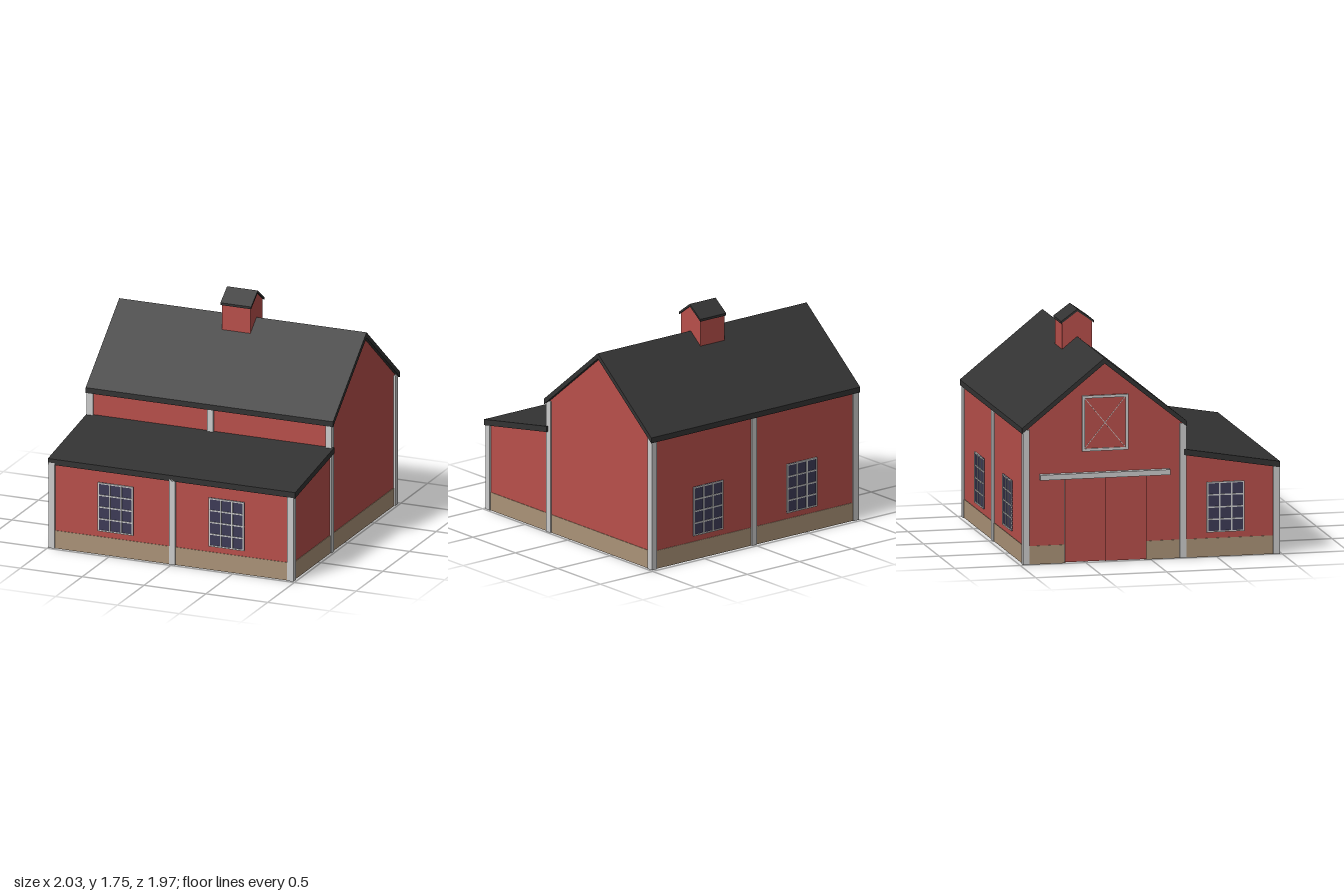
import * as THREE from 'three';

const mat = (color, side = THREE.FrontSide) =>
  new THREE.MeshStandardMaterial({ color, side, flatShading: true });
const RED = mat(0xb9504b, THREE.DoubleSide);
const STONE = mat(0xab9378);
const ROOF = mat(0x333333);
const TRIM = mat(0xcccccc);
const GLASS = mat(0x3d3b57);

// Wall planes and the ridge line
const XL = -0.982, XR = 0.973, ZB = -0.963, ZM = 0.255, ZF = 0.972, RIDGE = -0.355;
const PLINTH = 0.14;

function add(parent, name, geometry, material) {
  const mesh = new THREE.Mesh(geometry, material);
  mesh.name = name;
  parent.add(mesh);
  return mesh;
}

// Box given by its min and max on each axis
function block(parent, name, material, x0, x1, y0, y1, z0, z1) {
  const mesh = add(parent, name, new THREE.BoxGeometry(x1 - x0, y1 - y0, z1 - z0), material);
  mesh.position.set((x0 + x1) / 2, (y0 + y1) / 2, (z0 + z1) / 2);
  return mesh;
}

const outline = (points) => new THREE.Shape(points.map(([z, y]) => new THREE.Vector2(z, y)));

// Flat wall across x, drawn in (z, y)
function sideWall(parent, name, points, x) {
  const geometry = new THREE.ShapeGeometry(outline(points)).rotateY(-Math.PI / 2);
  add(parent, name, geometry, RED).position.x = x;
}

// Solid with a (z, y) section running from x0 to x1
function prism(parent, name, material, points, x0, x1) {
  const geometry = new THREE.ExtrudeGeometry(outline(points), { depth: x1 - x0, bevelEnabled: false });
  add(parent, name, geometry.rotateY(-Math.PI / 2), material).position.x = x1;
}

// Gable roof slab of constant vertical thickness
const gableRoof = (halfSpan, eave, ridge, t) => [
  [RIDGE - halfSpan, eave - t], [RIDGE, ridge - t], [RIDGE + halfSpan, eave - t],
  [RIDGE + halfSpan, eave], [RIDGE, ridge], [RIDGE - halfSpan, eave],
];

// Window facing +z: glass, frame and glazing bars, three by four panes
function makeWindow(name) {
  const g = new THREE.Group();
  g.name = name;
  const w = 0.285, h = 0.38, bar = 0.005;
  block(g, 'glass', GLASS, -w / 2, w / 2, -h / 2, h / 2, -0.004, 0.004);
  for (let i = 0; i <= 3; i++) {
    const x = (i / 3 - 0.5) * (w - 2 * bar);
    block(g, 'uprightBar', TRIM, x - bar, x + bar, -h / 2, h / 2, -0.004, 0.01);
  }
  for (let i = 0; i <= 4; i++) {
    const y = (i / 4 - 0.5) * (h - 2 * bar);
    block(g, 'crossBar', TRIM, -w / 2, w / 2, y - bar, y + bar, -0.004, 0.0095);
  }
  return g;
}

export function createModel() {
  const model = new THREE.Group();
  model.name = 'barn';

  // End walls, with a doorway cut in one of them
  const upper = [[ZF, 0.66], [ZM, 0.785], [ZM, 1.015], [RIDGE, 1.505], [ZB, 1.015]];
  const doorway = [[-0.65, 0], [-0.65, 0.6], [-0.05, 0.6], [-0.05, 0]];
  sideWall(model, 'plainEndWall', [[ZB, 0], [ZF, 0], ...upper], XR);
  sideWall(model, 'doorEndWall', [[ZB, 0], ...doorway, [ZF, 0], ...upper], XL);

  // Long walls: back, main front and lean-to front
  for (const [name, z, h] of [['backWall', ZB, 1.015], ['mainFrontWall', ZM, 1.015], ['leanToFrontWall', ZF, 0.66]]) {
    const wall = add(model, name, new THREE.PlaneGeometry(XR - XL, h), RED);
    wall.position.set((XL + XR) / 2, h / 2, z);
  }

  // Stone plinth outside the walls
  const e = 0.004;
  block(model, 'plinthFront', STONE, XL, XR, 0, PLINTH, ZF, ZF + e);
  block(model, 'plinthBack', STONE, XL, XR, 0, PLINTH, ZB - e, ZB);
  block(model, 'plinthPlainEnd', STONE, XR, XR + e, 0, PLINTH, ZB, ZF);
  block(model, 'plinthDoorEndA', STONE, XL - e, XL, 0, PLINTH, ZB, -0.65);
  block(model, 'plinthDoorEndB', STONE, XL - e, XL, 0, PLINTH, -0.05, ZF);

  // Raised floors
  block(model, 'mainFloor', STONE, XL + e, XR - e, PLINTH - 0.01, PLINTH, ZB + e, ZM - e);
  block(model, 'leanToFloor', STONE, XL + e, XR - e, PLINTH - 0.01, PLINTH, ZM + e, ZF - e);

  // Corner and middle posts
  for (const [z, h] of [[-0.951, 1.02], [0.245, 1.02], [0.96, 0.67]]) {
    for (const x of [-0.97, 0.004, 0.961]) {
      block(model, 'post', TRIM, x - 0.025, x + 0.025, 0, h, z - 0.025, z + 0.025);
    }
  }

  // Roofs
  prism(model, 'mainRoof', ROOF, gableRoof(0.63, 1.035, 1.54, 0.042), -1, 1);
  prism(model, 'leanToRoof', ROOF, [[0.25, 0.78], [0.985, 0.655], [0.985, 0.7], [0.25, 0.825]], -1, 1);

  // Cupola on the ridge
  prism(model, 'cupolaWalls', RED,
    [[-0.47, 1.42], [-0.24, 1.42], [-0.24, 1.648], [RIDGE, 1.735], [-0.47, 1.648]], -0.118, 0.11);
  prism(model, 'cupolaRoof', ROOF, gableRoof(0.125, 1.66, 1.75, 0.018), -0.128, 0.12);

  // Windows on front, back and the lean-to end
  for (const x of [-0.455, 0.442]) {
    const front = makeWindow('frontWindow');
    front.position.set(x, 0.375, ZF + 0.003);
    const back = makeWindow('backWindow');
    back.position.set(x, 0.375, ZB - 0.003);
    back.rotation.y = Math.PI;
    model.add(front, back);
  }
  const end = makeWindow('endWindow');
  end.position.set(XL - 0.003, 0.375, 0.57);
  end.rotation.y = -Math.PI / 2;
  model.add(end);

  // Pair of sliding doors under a rail, one running just outside the other
  [[-0.66, -0.345, 0], [-0.355, -0.04, 0.012]].forEach(([z0, z1, out]) => {
    const x = XL - 0.006 - out;
    block(model, 'doorBacking', TRIM, x - 0.014, x, 0.01, 0.65, z0, z1);
    block(model, 'doorFace', RED, x - 0.016, x - 0.014, 0.01, 0.65, z0, z1);
  });
  block(model, 'doorRail', TRIM, XL - 0.045, XL, 0.64, 0.68, -0.85, 0.14);

  // Loft hatch: frame and crossed braces
  const hatch = new THREE.Group();
  hatch.name = 'loftHatch';
  hatch.position.set(XL, 1.05, RIDGE + 0.005);
  const hw = 0.175, hh = 0.21, f = 0.02;
  block(hatch, 'hatchPanel', RED, -0.006, 0, -hh, hh, -hw, hw);
  for (const s of [-1, 1]) {
    const z = s * (hw - f / 2), y = s * (hh - f / 2);
    block(hatch, 'hatchStile', TRIM, -0.018, 0, -hh, hh, z - f / 2, z + f / 2);
    block(hatch, 'hatchRail', TRIM, -0.017, 0, y - f / 2, y + f / 2, -hw, hw);
    const brace = block(hatch, 'hatchBrace', TRIM, -0.008, 0, -0.002, 0.002, -0.24, 0.24);
    brace.rotation.x = s * Math.atan2(hh - f, hw - f);
  }
  model.add(hatch);

  return model;
}
